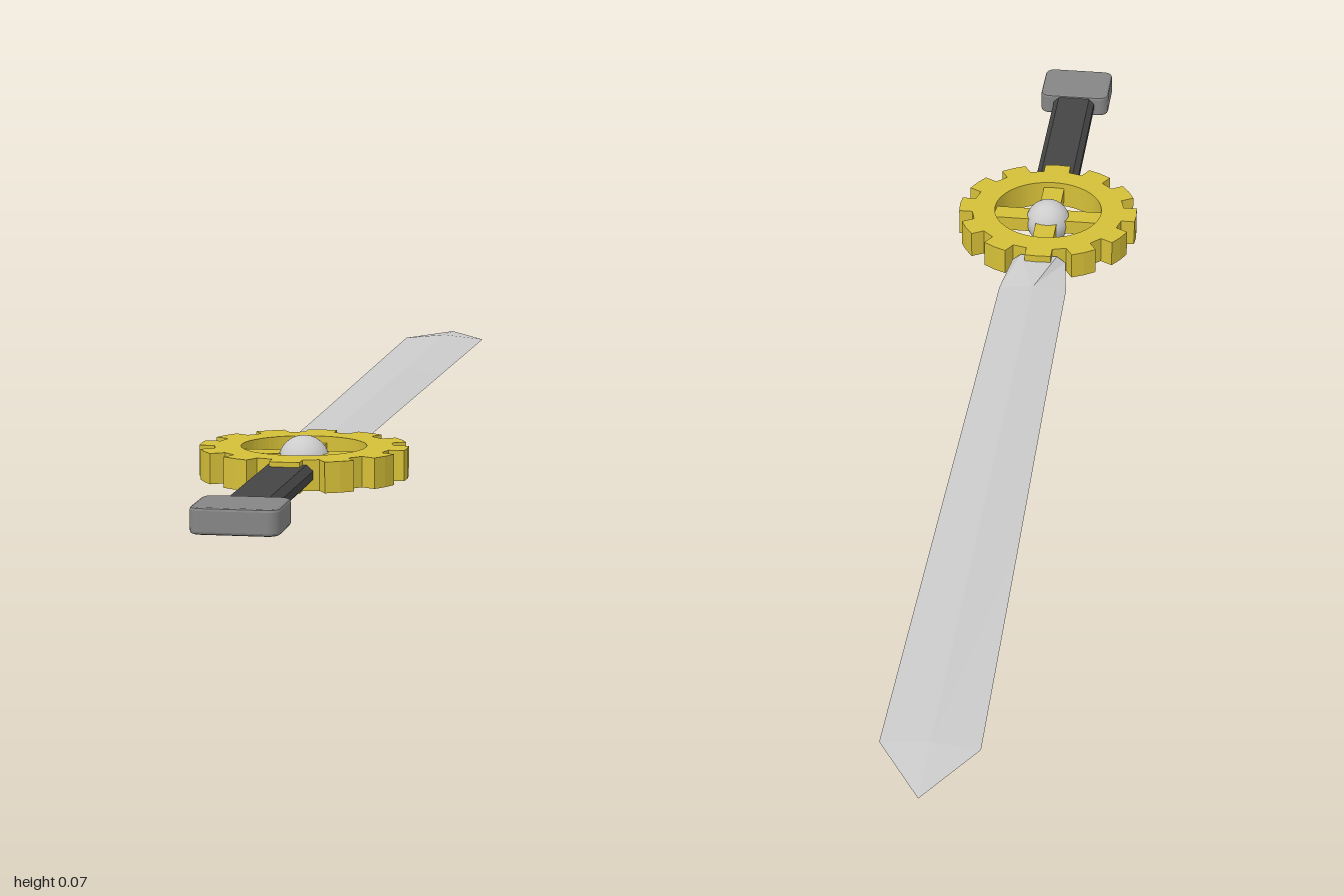
import * as THREE from 'three';

const MID = 0.038; // height of the sword's centre plane
const GUARD_Z = 0.5;

const mat = (color, flatShading = false) => new THREE.MeshStandardMaterial({ color, flatShading });

// Closed flat-shaded loft through rings of points, ordered from +z to -z
function loft(rings) {
  const pos = [];
  const tri = (a, b, c) => pos.push(...a, ...b, ...c);
  const n = rings[0].length;
  for (let r = 0; r < rings.length - 1; r++) {
    const a = rings[r], b = rings[r + 1];
    for (let i = 0; i < n; i++) {
      const j = (i + 1) % n;
      tri(a[i], b[i], a[j]);
      tri(a[j], b[i], b[j]);
    }
  }
  const first = rings[0], last = rings[rings.length - 1];
  for (let i = 1; i < n - 1; i++) {
    tri(first[0], first[i], first[i + 1]);
    tri(last[0], last[i + 1], last[i]);
  }
  const g = new THREE.BufferGeometry();
  g.setAttribute('position', new THREE.Float32BufferAttribute(pos, 3));
  g.computeVertexNormals();
  return g;
}

// Six-sided section: half width w, half thickness t, half width f of the flat
const bladeRing = ([z, w, t, f]) =>
  [[w, 0, z], [f, t, z], [-f, t, z], [-w, 0, z], [-f, -t, z], [f, -t, z]];

// Eight-sided section: rectangle w by h with corners cut by c
const chamferRing = (z, w, h, c) => [
  [w, -h + c, z], [w, h - c, z], [w - c, h, z], [-w + c, h, z],
  [-w, h - c, z], [-w, -h + c, z], [-w + c, -h, z], [w - c, -h, z],
];

// Toothed ring outline with a round opening
function gearShape(teeth, outer, root, hole) {
  const pts = [];
  for (let i = 0; i < teeth; i++) {
    const a = (i / teeth) * Math.PI * 2;
    for (const [r, d] of [[root, -0.17], [outer, -0.145], [outer, 0], [outer, 0.145], [root, 0.17]]) {
      pts.push(new THREE.Vector2(r * Math.cos(a + d), r * Math.sin(a + d)));
    }
  }
  const shape = new THREE.Shape(pts);
  shape.holes.push(new THREE.Path().absarc(0, 0, hole, 0, Math.PI * 2, true));
  return shape;
}

// Rounded rectangle outline, centred
function roundedRect(w, h, r) {
  const s = new THREE.Shape();
  s.absarc(w - r, h - r, r, 0, Math.PI / 2);
  s.absarc(-w + r, h - r, r, Math.PI / 2, Math.PI);
  s.absarc(-w + r, -h + r, r, Math.PI, Math.PI * 1.5);
  s.absarc(w - r, -h + r, r, Math.PI * 1.5, Math.PI * 2);
  s.closePath();
  return s;
}

export function createModel() {
  const model = new THREE.Group();
  const add = (name, geometry, material, y = MID, z = 0, parent = model) => {
    const mesh = new THREE.Mesh(geometry, material);
    mesh.name = name;
    mesh.position.set(0, y, z);
    parent.add(mesh);
    return mesh;
  };
  const steel = mat(0xcccccc);
  const gold = mat(0xd5bf38);

  // Blade: thick flat root, then a ridged body widening toward the point
  const sections = [
    [0.37, 0.044, 0.011, 0.03],
    [0.28, 0.055, 0.008, 0.002],
    [0.0, 0.058, 0.008, 0.002],
    [-0.43, 0.064, 0.008, 0.002],
    [-0.89, 0.07, 0.007, 0.002],
    [-1.0, 0, 0, 0],
  ];
  add('blade', loft(sections.map(bladeRing)), mat(0xcccccc, true));

  // Gear-shaped guard
  const guard = new THREE.Group();
  guard.name = 'guard';
  guard.position.set(0, MID, GUARD_Z);
  model.add(guard);
  const rim = new THREE.ExtrudeGeometry(gearShape(12, 0.15, 0.128, 0.09), {
    depth: 0.044, bevelEnabled: false, curveSegments: 40,
  });
  rim.translate(0, 0, -0.022).rotateX(-Math.PI / 2);
  add('gearRim', rim, gold, 0, 0, guard);

  // Cross spokes and central ball
  for (let i = 0; i < 2; i++) {
    const spoke = add('spokes', new THREE.BoxGeometry(0.19, 0.024, 0.035), gold, 0, 0, guard);
    spoke.rotation.y = i * Math.PI / 2;
  }
  add('hubBall', new THREE.SphereGeometry(0.037, 32, 20), steel, 0, 0, guard);

  // Grip with chamfered edges
  add('grip', loft([chamferRing(0.91, 0.036, 0.015, 0.009), chamferRing(0.62, 0.036, 0.015, 0.009)]),
    mat(0x454545, true));

  // Pommel block with rounded corners and softened edges
  const bevel = 0.004;
  const pommel = new THREE.ExtrudeGeometry(roundedRect(0.06 - bevel, 0.05 - bevel, 0.012), {
    depth: 0.036 - 2 * bevel, bevelThickness: bevel, bevelSize: bevel, bevelSegments: 2, curveSegments: 5,
  });
  pommel.translate(0, 0, -0.018 + bevel).rotateX(-Math.PI / 2);
  add('pommel', pommel, mat(0x858585), MID, 0.95);

  return model;
}
